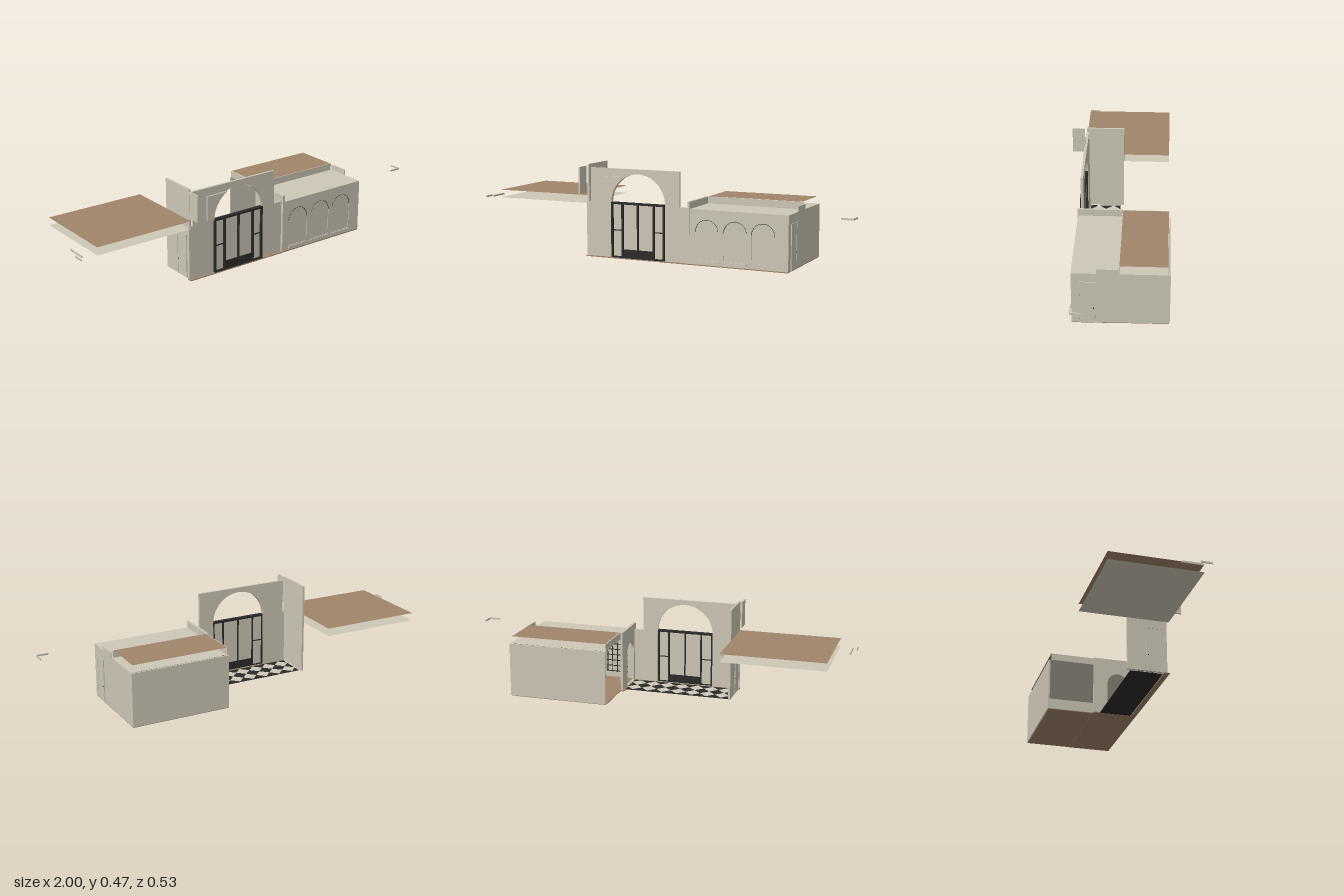
import * as THREE from 'three';

const mat = (name, color) => {
  const m = new THREE.MeshStandardMaterial({ color, side: THREE.DoubleSide });
  m.name = name;
  return m;
};

export function createModel() {
  const root = new THREE.Group();
  const plaster = mat('beige plaster', 0xcdc7b6);
  const wood = mat('brown wood', 0xa0856a);
  const iron = mat('black iron', 0x2b2b2b);

  const add = (name, geo, m, parent = root) => {
    const mesh = new THREE.Mesh(geo, m);
    mesh.name = name;
    parent.add(mesh);
    return mesh;
  };
  // box from its two opposite corners
  const box = (name, m, x0, x1, y0, y1, z0, z1, parent) => {
    const g = new THREE.BoxGeometry(x1 - x0, y1 - y0, z1 - z0);
    return add(name, g.translate((x0 + x1) / 2, (y0 + y1) / 2, (z0 + z1) / 2), m, parent);
  };
  const sheet = (name, m, x0, x1, y, z0, z1) => {
    const g = new THREE.PlaneGeometry(x1 - x0, z1 - z0).rotateX(-Math.PI / 2);
    return add(name, g.translate((x0 + x1) / 2, y, (z0 + z1) / 2), m);
  };
  const poly = (pts) => new THREE.Shape(pts.map(([x, y]) => new THREE.Vector2(x, y)));
  const extrude = (shape, depth) =>
    new THREE.ExtrudeGeometry(shape, { depth, bevelEnabled: false, curveSegments: 20 });
  // opening with a round head
  const archPath = (cx, r, base, spring) => {
    const p = new THREE.Path();
    p.moveTo(cx - r, base);
    p.lineTo(cx + r, base);
    p.lineTo(cx + r, spring);
    p.absarc(cx, spring, r, 0, Math.PI, false);
    p.lineTo(cx - r, base);
    return p;
  };

  // entrance facade with raised centre and arched opening
  const AX = -0.107, AR = 0.148, SPRING = 0.283;
  const facade = poly([[-0.4, 0.004], [0.178, 0.004], [0.178, 0.28], [0.12, 0.28],
    [0.12, 0.455], [-0.375, 0.455], [-0.375, 0.28], [-0.4, 0.28]]);
  facade.holes.push(archPath(AX, AR, 0.006, SPRING));
  add('entranceFacade', extrude(facade, 0.012).translate(0, 0, 0.175), plaster);

  // spandrel plate beside the arch
  const plate = new THREE.Shape();
  plate.moveTo(-0.295, SPRING);
  plate.lineTo(AX - AR, SPRING);
  plate.absarc(AX, SPRING, AR, Math.PI, 2.05, true);
  plate.lineTo(-0.295, 0.414);
  add('spandrelPlate', extrude(plate, 0.008).translate(0, 0, 0.187), plaster);

  // glazed entrance doors
  const doors = new THREE.Group();
  doors.name = 'entranceDoors';
  root.add(doors);
  box('doorPanels', plaster, -0.253, 0.04, 0.006, 0.28, 0.181, 0.186, doors);
  for (const [x, w] of [[-0.251, 0.009], [-0.193, 0.009], [-0.107, 0.007], [-0.019, 0.009], [0.036, 0.009]])
    box('doorPost', iron, x - w / 2, x + w / 2, 0.006, 0.285, 0.177, 0.198, doors);
  box('doorHead', iron, -0.255, 0.04, 0.277, 0.287, 0.177, 0.198, doors);
  box('doorSill', iron, -0.255, 0.04, 0.005, 0.012, 0.177, 0.198, doors);
  box('kickPlate', iron, -0.193, -0.019, 0.01, 0.048, 0.178, 0.195, doors);
  for (const [a, b] of [[-0.251, -0.193], [-0.019, 0.036]])
    box('sideLightRail', iron, a, b, 0.142, 0.147, 0.179, 0.19, doors);

  // tall side wall with its loose panel
  box('entranceSideWall', plaster, -0.396, -0.386, 0.004, 0.471, -0.01, 0.186);
  box('signPanel', plaster, -0.403, -0.395, 0.327, 0.463, 0.198, 0.264);

  // plain side doors with frame and knob; s is the outward direction
  const sideDoor = (x, s) => {
    const g = new THREE.Group();
    g.name = 'sideDoor';
    root.add(g);
    const out = (name, m, d, ...r) => box(name, m, Math.min(x, x + s * d), Math.max(x, x + s * d), ...r, g);
    out('doorLeaf', plaster, 0.002, 0.005, 0.228, 0.088, 0.159);
    out('doorJamb', plaster, 0.004, 0.005, 0.232, 0.084, 0.088);
    out('doorJamb', plaster, 0.004, 0.005, 0.232, 0.159, 0.163);
    out('doorLintel', plaster, 0.004, 0.228, 0.232, 0.088, 0.159);
    add('doorKnob', new THREE.SphereGeometry(0.003, 10, 8).translate(x + s * 0.004, 0.087, 0.094), iron, g);
  };
  sideDoor(0.69, 1);
  sideDoor(-0.396, -1);

  // chequered entrance floor of diamonds
  const FX = -0.38, P = 0.078, FZ = 0.008;
  box('darkFloor', iron, FX, FX + 7 * P, 0.001, 0.004, FZ, FZ + 2 * P + 0.005);
  const tile = poly([[P / 2, 0], [0, P / 2], [-P / 2, 0], [0, -P / 2]]);
  for (let i = 0; i < 7; i++)
    for (let j = 0; j < 2; j++)
      add('lightTile', new THREE.ShapeGeometry(tile).rotateX(-Math.PI / 2)
        .translate(FX + (i + 0.5) * P, 0.0052, FZ + (j + 0.5) * P), plaster);
  box('threshold', wood, -0.4, 0.178, 0, 0.004, 0.172, 0.199);

  // side wing: floor, walls, ceiling and roof
  box('wingFloor', wood, 0.162, 0.688, 0, 0.005, -0.026, 0.198);
  box('wingFloorRear', wood, 0.18, 0.688, 0.001, 0.005, -0.258, -0.026);
  box('wingEndWall', plaster, 0.682, 0.69, 0.005, 0.277, -0.262, 0.198);
  box('wingBackWall', plaster, 0.18, 0.682, 0.005, 0.277, -0.262, -0.254);
  const front = poly([[0.178, 0.005], [0.682, 0.005], [0.682, 0.277], [0.178, 0.277]]);
  const windows = [0.27, 0.418, 0.562];
  for (const x of windows) front.holes.push(archPath(x, 0.06, 0.03, 0.168));
  add('wingFrontWall', extrude(front, 0.012).translate(0, 0, 0.186), plaster);
  sheet('wingCeiling', plaster, 0.18, 0.69, 0.277, -0.25, 0.196);
  sheet('wingRoof', wood, 0.185, 0.68, 0.314, -0.25, -0.026);
  box('roofFasciaFront', plaster, 0.18, 0.685, 0.277, 0.313, -0.028, -0.024);
  box('roofFasciaSide', plaster, 0.18, 0.185, 0.277, 0.313, -0.249, -0.028);
  box('endPanel', plaster, 0.69, 0.696, 0.277, 0.305, -0.022, 0.079);

  // arched windows: pale pane outside, iron grille inside
  for (const x of windows) {
    const g = new THREE.Group();
    g.name = 'archedWindow';
    root.add(g);
    const pane = new THREE.Shape(archPath(x, 0.06, 0.03, 0.168).getPoints(20));
    add('pane', new THREE.ShapeGeometry(pane).translate(0, 0, 0.195), plaster, g);
    box('windowSill', plaster, x - 0.063, x + 0.063, 0.016, 0.026, 0.196, 0.202, g);
    for (let i = -2; i <= 2; i++)
      box('grilleBar', iron, x + i * 0.027 - 0.002, x + i * 0.027 + 0.002, 0.03, 0.218 - Math.abs(i) * 0.01, 0.188, 0.191, g);
    for (let j = 0; j < 6; j++)
      box('grilleRail', iron, x - 0.058, x + 0.058, 0.034 + j * 0.03, 0.038 + j * 0.03, 0.187, 0.19, g);
    add('archTrim', new THREE.TorusGeometry(0.06, 0.0015, 5, 20, Math.PI).translate(x, 0.168, 0.197), iron, g);
  }

  // wall with arched doorway between entrance and wing
  const partition = poly([[-0.2, 0.005], [0.024, 0.005], [0.024, 0.312], [-0.2, 0.312]]);
  partition.holes.push(archPath(-0.105, 0.055, 0.006, 0.175));
  add('partitionWall', extrude(partition, 0.012).rotateY(Math.PI / 2).translate(0.168, 0, 0), plaster);

  // separate canopy: roof sheet above a ceiling sheet
  sheet('canopyRoof', wood, -0.912, -0.395, 0.314, -0.25, 0.2);
  sheet('canopyCeiling', plaster, -0.912, -0.395, 0.274, -0.25, 0.2);

  // small loose trim strips at both ends
  box('trimStrip', plaster, 0.937, 1, 0.27, 0.279, 0.177, 0.181);
  box('trimStrip', plaster, 0.996, 1, 0.27, 0.279, 0.12, 0.177);
  box('trimStrip', plaster, -0.979, -0.974, 0.27, 0.279, 0.07, 0.172);
  box('trimStrip', plaster, -1, -0.996, 0.27, 0.279, 0.15, 0.206);

  return root;
}
